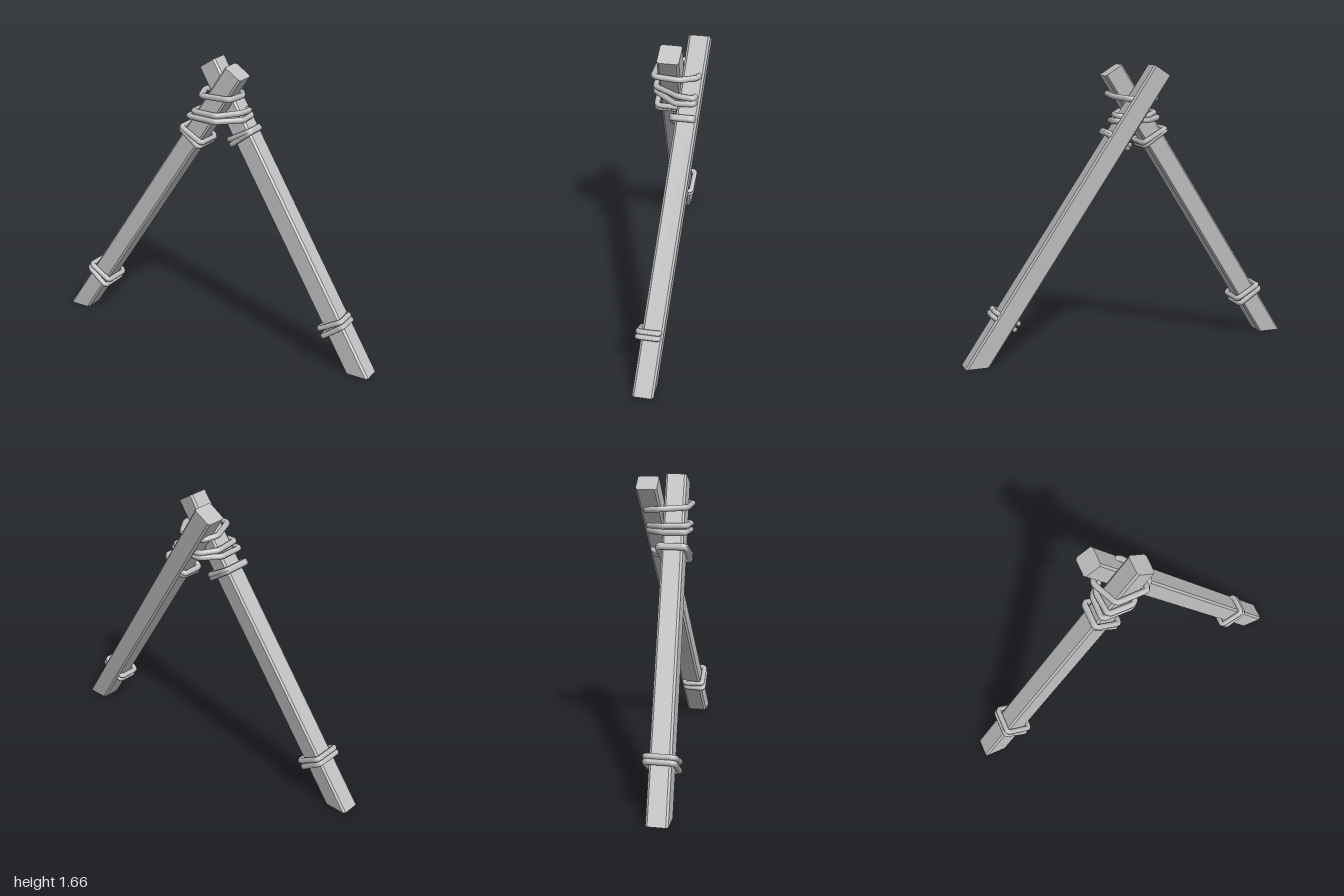
import * as THREE from 'three';
import { toCreasedNormals } from 'three/addons/utils/BufferGeometryUtils.js';

const DIR = new THREE.Vector2(0.542, 0.84); // slope of a pole seen from the front
const LENGTH = 1.94, HALF = 0.058, LEAN = 0.067;

export function createModel() {
  const group = new THREE.Group();
  const grey = new THREE.MeshStandardMaterial({ color: 0xbfbfbf });

  const add = (geometry, name) => {
    const mesh = new THREE.Mesh(geometry, grey);
    mesh.name = name;
    group.add(mesh);
  };

  // Point on a pole: u across, w in depth, t along; side -1 or 1 is the foot's x side
  const onPole = (side, baseZ, u, w, t) => {
    const y = t * DIR.y - u * DIR.x;
    return new THREE.Vector3(
      -side * (-0.93 + u * DIR.y + t * DIR.x), y, baseZ + w - LEAN * y);
  };

  // Square pole with chamfered edges, its foot cut level with the ground
  const pole = (side, baseZ, name) => {
    const h = HALF, c = HALF - 0.01, d = HALF + 0.002;
    const shape = new THREE.Shape([
      [-c, -d], [c, -d], [h, -c], [h, c], [c, d], [-c, d], [-h, c], [-h, -c],
    ].map(([x, y]) => new THREE.Vector2(x * -side, y)));
    const geo = new THREE.ExtrudeGeometry(shape, { depth: 1, bevelEnabled: false });
    const pos = geo.attributes.position;
    for (let i = 0; i < pos.count; i++) {
      const u = pos.getX(i) * -side;
      const t = pos.getZ(i) > 0.5 ? LENGTH : u * DIR.x / DIR.y;
      const p = onPole(side, baseZ, u, pos.getY(i), t);
      pos.setXYZ(i, p.x, p.y, p.z);
    }
    // The mapped axes are left-handed, so swap two corners of every triangle
    for (let i = 0; i < pos.count; i += 3) {
      const a = new THREE.Vector3().fromBufferAttribute(pos, i + 1);
      const b = new THREE.Vector3().fromBufferAttribute(pos, i + 2);
      pos.setXYZ(i + 1, b.x, b.y, b.z);
      pos.setXYZ(i + 2, a.x, a.y, a.z);
    }
    geo.computeVertexNormals();
    // Face the surface outward whichever way the pole is mirrored
    let volume = 0;
    const [a, b, c3] = [0, 1, 2].map(() => new THREE.Vector3());
    for (let i = 0; i < pos.count; i += 3) {
      [a, b, c3].forEach((v, k) => v.fromBufferAttribute(pos, i + k));
      volume += a.dot(b.cross(c3));
    }
    if (volume < 0) {
      for (let i = 0; i < pos.count; i += 3) {
        a.fromBufferAttribute(pos, i + 1);
        b.fromBufferAttribute(pos, i + 2);
        pos.setXYZ(i + 1, b.x, b.y, b.z);
        pos.setXYZ(i + 2, a.x, a.y, a.z);
      }
      geo.computeVertexNormals();
    }
    add(geo, name);
  };

  // Closed rope through corner points, straight between slightly rounded corners
  const rope = (corners, name, radius = 0.016) => {
    const path = new THREE.CurvePath();
    const n = corners.length;
    const cut = (from, to) => from.clone().lerp(to, Math.min(0.45, 0.02 / from.distanceTo(to)));
    corners.forEach((p, i) => {
      const prev = corners[(i + n - 1) % n], next = corners[(i + 1) % n];
      path.add(new THREE.QuadraticBezierCurve3(cut(p, prev), p, cut(p, next)));
      path.add(new THREE.LineCurve3(cut(p, next), cut(next, p)));
    });
    add(toCreasedNormals(new THREE.TubeGeometry(path, 64, radius, 7, true), 1), name);
  };

  // Rope turn round one pole, with a little slant
  const turn = (side, baseZ, t, slant, back, name) => {
    const u = 0.076, f = 0.08;
    rope([[-u, f, slant], [u, f, -slant], [u, back, 0], [-u, back, slant]]
      .map(([a, w, s]) => onPole(side, baseZ, a, w, t + s)), name);
  };

  // Poles and the ropes round each of them
  [[-1, 0.11, -0.08, 'front'], [1, -0.015, -0.037, 'rear']].forEach(([side, z, back, label]) => {
    // Mirror so that the foot stands on the given side
    pole(-side * -1, z, label + 'Pole');
    turn(side, z, 0.286, 0.006, back, label + 'LowerRope');
    turn(side, z, 0.325, -0.004, back, label + 'LowerRope');
    turn(side, z, 1.478, 0.006, back, label + 'UpperRope');
    turn(side, z, 1.498, -0.006, back, label + 'UpperRope');
  });

  // Lashings round the crossing of both poles
  const lashing = (y, points) => rope(
    points.map(([x, z, dy]) => new THREE.Vector3(x, y + dy, z)), 'crossingLashing', 0.017);
  lashing(1.485, [[-0.06, 0.09, 0.005], [0.12, 0.09, 0.008], [0.125, -0.05, 0],
    [0.06, -0.145, -0.01], [-0.09, -0.145, -0.01], [-0.125, -0.06, 0]]);
  lashing(1.39, [[-0.11, 0.095, 0.005], [0.04, 0.095, 0], [0.12, -0.04, -0.005],
    [0.125, -0.135, -0.01], [-0.05, -0.135, -0.01], [-0.12, -0.05, 0]]);
  lashing(1.355, [[-0.145, 0.095, 0.008], [0.03, 0.095, 0], [0.14, -0.03, -0.005],
    [0.14, -0.135, 0], [-0.05, -0.135, 0], [-0.14, -0.05, 0.005]]);

  return group;
}
